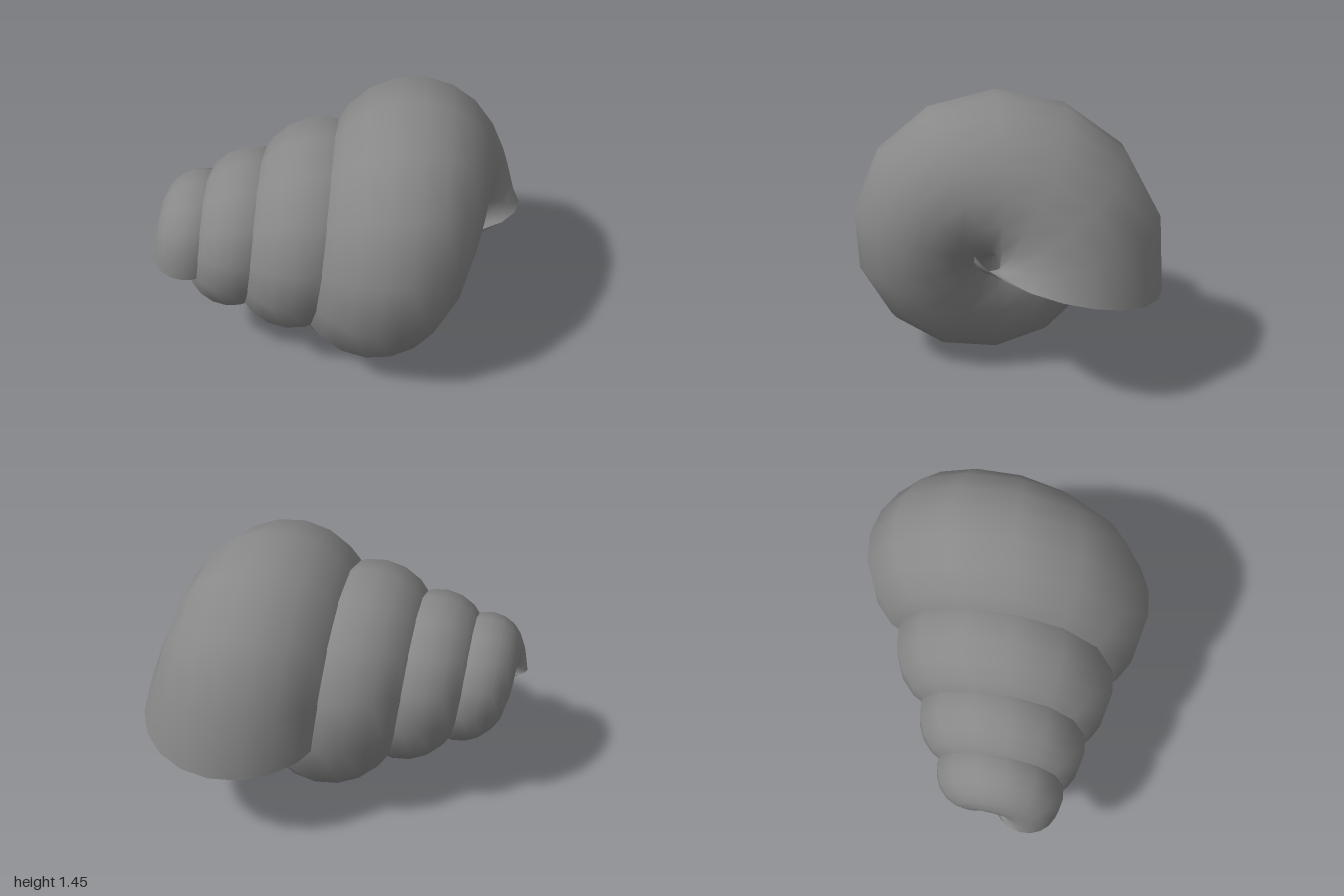
import * as THREE from 'three';

const STEPS = 50;          // rings along the spiral, from mouth to tip
const SIDES = 20;          // points around each ring
const TURN = 0.45;         // radians between rings
const SHRINK = 0.98;       // size ratio between rings
const AXIS = { y: 0.677, z: 0.05 };

// Circular tube wound round the x axis, shrinking towards the tip, open at both ends
function spiralShell() {
  const positions = [], index = [];
  for (let i = 0; i <= STEPS; i++) {
    const s = Math.pow(SHRINK, i);
    const phi = -0.229 + i * TURN;
    const centreX = -1.575 + 2.08 * s;
    for (let j = 0; j < SIDES; j++) {
      const a = ((j + 0.5) / SIDES) * Math.PI * 2;
      const rho = s * (0.35 + 0.496 * Math.sin(a));
      positions.push(
        centreX + s * 0.5 * Math.cos(a),
        AXIS.y + rho * Math.sin(phi),
        AXIS.z - rho * Math.cos(phi)
      );
    }
  }
  for (let i = 0; i < STEPS; i++) {
    for (let j = 0; j < SIDES; j++) {
      const k = (j + 1) % SIDES;
      const a = i * SIDES + j, b = i * SIDES + k;
      const c = a + SIDES, d = b + SIDES;
      index.push(a, b, c, b, d, c);
    }
  }
  const geometry = new THREE.BufferGeometry();
  geometry.setAttribute('position', new THREE.Float32BufferAttribute(positions, 3));
  geometry.setIndex(index);
  geometry.computeVertexNormals();
  return geometry;
}

export function createModel() {
  const group = new THREE.Group();
  group.name = 'seashell';
  const shellGrey = new THREE.MeshStandardMaterial({ color: 0x888888, side: THREE.DoubleSide });
  shellGrey.name = 'shellGrey';
  const shell = new THREE.Mesh(spiralShell(), shellGrey);
  shell.name = 'spiralShell';
  group.add(shell);
  return group;
}
